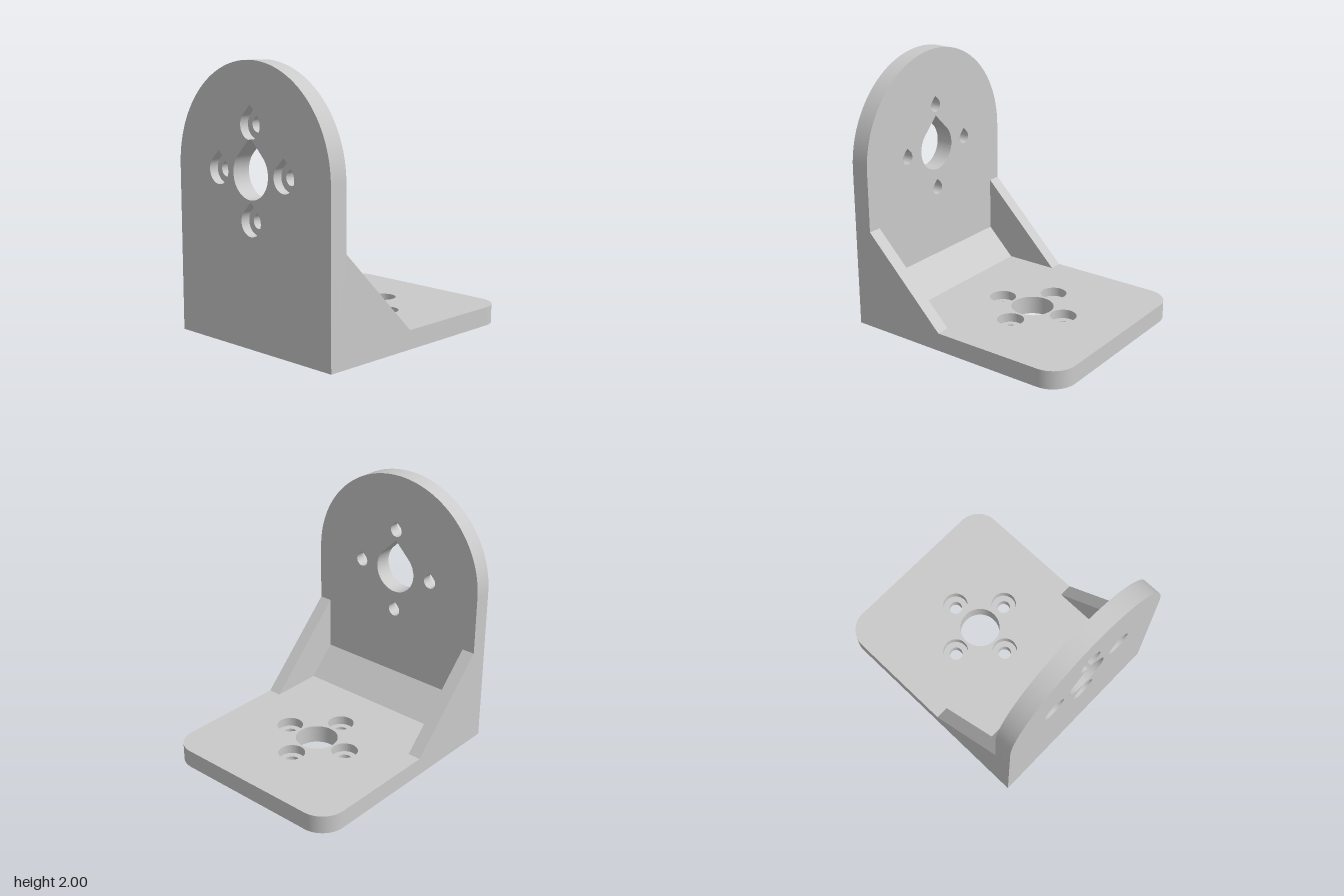
import * as THREE from 'three';
import { toCreasedNormals } from 'three/addons/utils/BufferGeometryUtils.js';

const HALF = 0.771, THICK = 0.14, BORE = 0.07;
const BACK = -0.914, INNER = -0.774, FRONT = 0.914;
const AXIS_Y = 1.23;
const BRACE_Z = 0.668;

function circle(x, y, r) {
  return new THREE.Path().absarc(x, y, r, 0, Math.PI * 2, true);
}

// Round hole with a 45 degree peak
function teardrop(x, y, r) {
  const p = new THREE.Path();
  p.absarc(x, y, r, Math.PI * 0.75, Math.PI * 2.25, false);
  p.lineTo(x, y + r * Math.SQRT2);
  p.closePath();
  return p;
}

// Central teardrop whose peak runs into the teardrop counterbore above it
function mergedTeardrops(y, r, spacing, rBore) {
  const gap = spacing - r * Math.SQRT2;
  const a = Math.asin((Math.sqrt(2 * rBore * rBore - gap * gap) - gap) / 2 / rBore);
  const p = new THREE.Path();
  p.absarc(0, y, r, Math.PI * 0.75, Math.PI * 2.25, false);
  p.absarc(0, y + spacing, rBore, -Math.PI / 2 + a, Math.PI / 4, false);
  p.lineTo(0, y + spacing + rBore * Math.SQRT2);
  p.absarc(0, y + spacing, rBore, Math.PI * 0.75, Math.PI * 1.5 - a, false);
  p.closePath();
  return p;
}

function extrude(shape, depth) {
  return new THREE.ExtrudeGeometry(shape, { depth, bevelEnabled: false, curveSegments: 40 });
}

export function createModel() {
  const model = new THREE.Group();
  model.name = 'angleBracket';
  const grey = new THREE.MeshStandardMaterial({ color: 0xcacaca });
  grey.name = 'grey';

  const add = (name, geometry) => {
    const mesh = new THREE.Mesh(toCreasedNormals(geometry, 0.5), grey);
    mesh.name = name;
    model.add(mesh);
  };

  // Base plate: lower layer with bolt holes, upper layer with counterbores
  const baseLayer = (name, rBolt, top, depth) => {
    const r = 0.19, x = 0.14, d = 0.28;
    const s = new THREE.Shape();
    s.moveTo(INNER, -HALF);
    s.lineTo(FRONT - r, -HALF);
    s.absarc(FRONT - r, -HALF + r, r, -Math.PI / 2, 0, false);
    s.absarc(FRONT - r, HALF - r, r, 0, Math.PI / 2, false);
    s.lineTo(INNER, HALF);
    s.closePath();
    s.holes = [
      circle(x, 0, 0.16),
      circle(x + d, 0, rBolt), circle(x - d, 0, rBolt),
      circle(x, d, rBolt), circle(x, -d, rBolt),
    ];
    add(name, extrude(s, depth).rotateX(Math.PI / 2).translate(0, top, 0));
  };
  baseLayer('baseLower', 0.052, THICK - BORE, THICK - BORE);
  baseLayer('baseCounterbored', 0.1, THICK, BORE);

  // Upright plate with arched top: counterbores open to the back
  const rCentre = 0.178, spacing = 0.333;
  const wallLayer = (name, rBolt, centreHoles, x, depth) => {
    const s = new THREE.Shape();
    s.moveTo(-HALF, 0);
    s.lineTo(HALF, 0);
    s.absarc(0, AXIS_Y, HALF, 0, Math.PI, false);
    s.closePath();
    s.holes = [
      ...centreHoles,
      teardrop(spacing, AXIS_Y, rBolt), teardrop(-spacing, AXIS_Y, rBolt),
      teardrop(0, AXIS_Y - spacing, rBolt),
    ];
    add(name, extrude(s, depth).rotateY(Math.PI / 2).translate(x, 0, 0));
  };
  wallLayer('uprightCounterbored', 0.1,
    [mergedTeardrops(AXIS_Y, rCentre, spacing, 0.1)], BACK, BORE);
  wallLayer('uprightInner', 0.052,
    [teardrop(0, AXIS_Y, rCentre), teardrop(0, AXIS_Y + spacing, 0.052)],
    BACK + BORE, THICK - BORE);

  // Triangular braces in the corner between the plates
  const brace = (name, size, z, depth) => {
    const s = new THREE.Shape();
    s.moveTo(INNER, THICK);
    s.lineTo(INNER + size, THICK);
    s.lineTo(INNER, THICK + size);
    s.closePath();
    add(name, extrude(s, depth).translate(0, 0, z));
  };
  brace('frontGusset', 0.632, BRACE_Z, HALF - BRACE_Z);
  brace('backGusset', 0.632, -HALF, HALF - BRACE_Z);
  brace('cornerFillet', 0.215, -BRACE_Z, 2 * BRACE_Z);

  return model;
}
